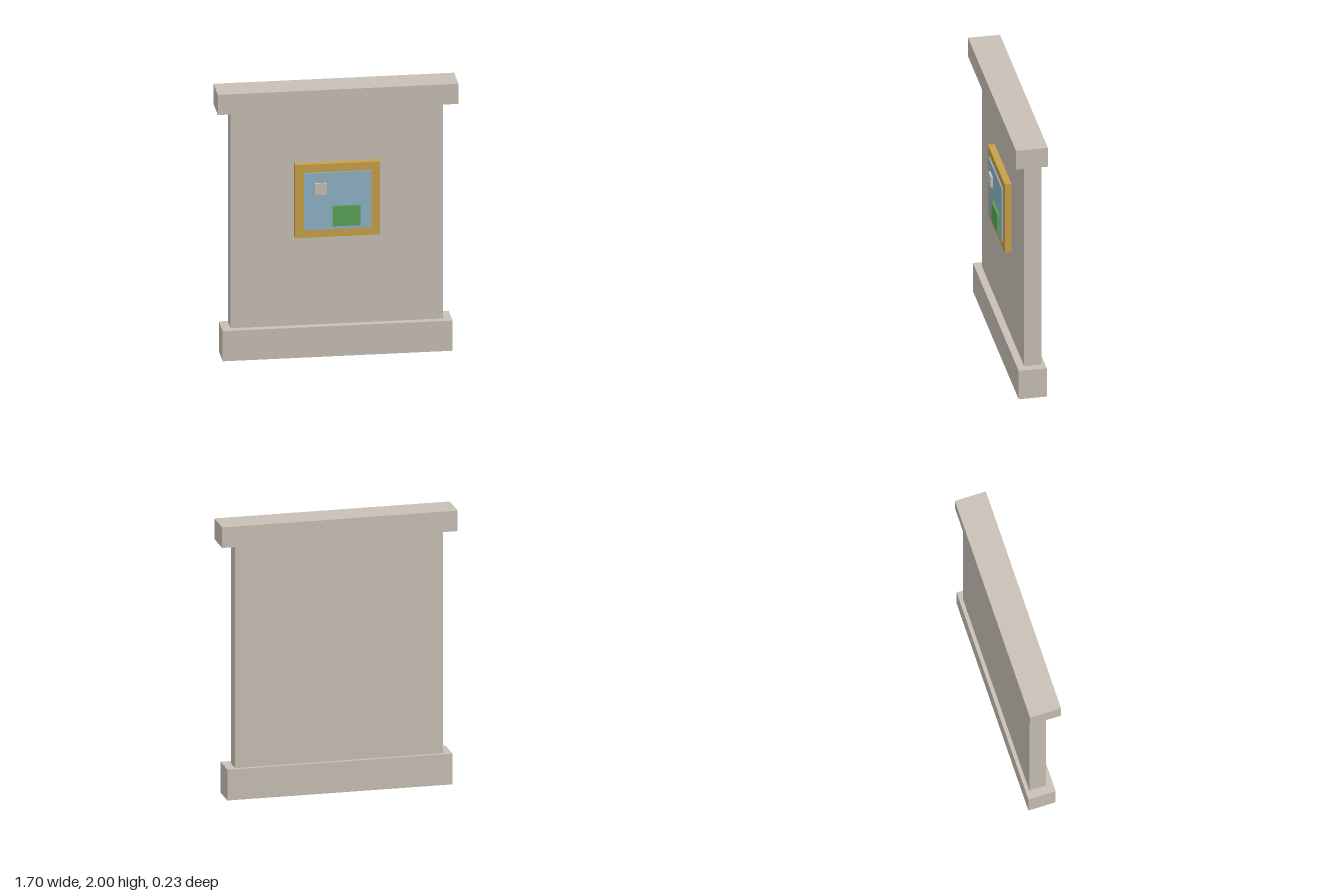
import * as THREE from 'three';

function material(name, color) {
  const m = new THREE.MeshStandardMaterial({ color });
  m.name = name;
  return m;
}

export function createModel() {
  const stone = material('stone', 0xc9c1b6);
  const gold = material('gold', 0xc8a24a);
  const blue = material('skyBlue', 0x90b4c8);
  const green = material('green', 0x5aa355);

  const group = new THREE.Group();
  group.name = 'wallWithPicture';

  // Box given by its extents along each axis
  function box(name, mat, [x0, x1], [y0, y1], [z0, z1]) {
    const mesh = new THREE.Mesh(new THREE.BoxGeometry(x1 - x0, y1 - y0, z1 - z0), mat);
    mesh.name = name;
    mesh.position.set((x0 + x1) / 2, (y0 + y1) / 2, (z0 + z1) / 2);
    group.add(mesh);
  }

  // Wall panel between plinth and cornice
  box('plinth', stone, [-0.812, 0.812], [0, 0.225], [-0.114, 0.087]);
  box('wall', stone, [-0.75, 0.75], [0.225, 1.85], [-0.087, 0.035]);
  box('cornice', stone, [-0.85, 0.85], [1.85, 2], [-0.114, 0.114]);

  // Framed picture, with its raised patches
  box('pictureFrame', gold, [-0.3, 0.3], [0.892, 1.437], [0.035, 0.083]);
  box('pictureCanvas', blue, [-0.237, 0.237], [0.952, 1.375], [0.083, 0.093]);
  box('pictureCloud', stone, [-0.163, -0.079], [1.215, 1.3], [0.093, 0.109]);
  box('pictureMeadow', green, [-0.038, 0.159], [0.977, 1.126], [0.093, 0.109]);

  return group;
}
